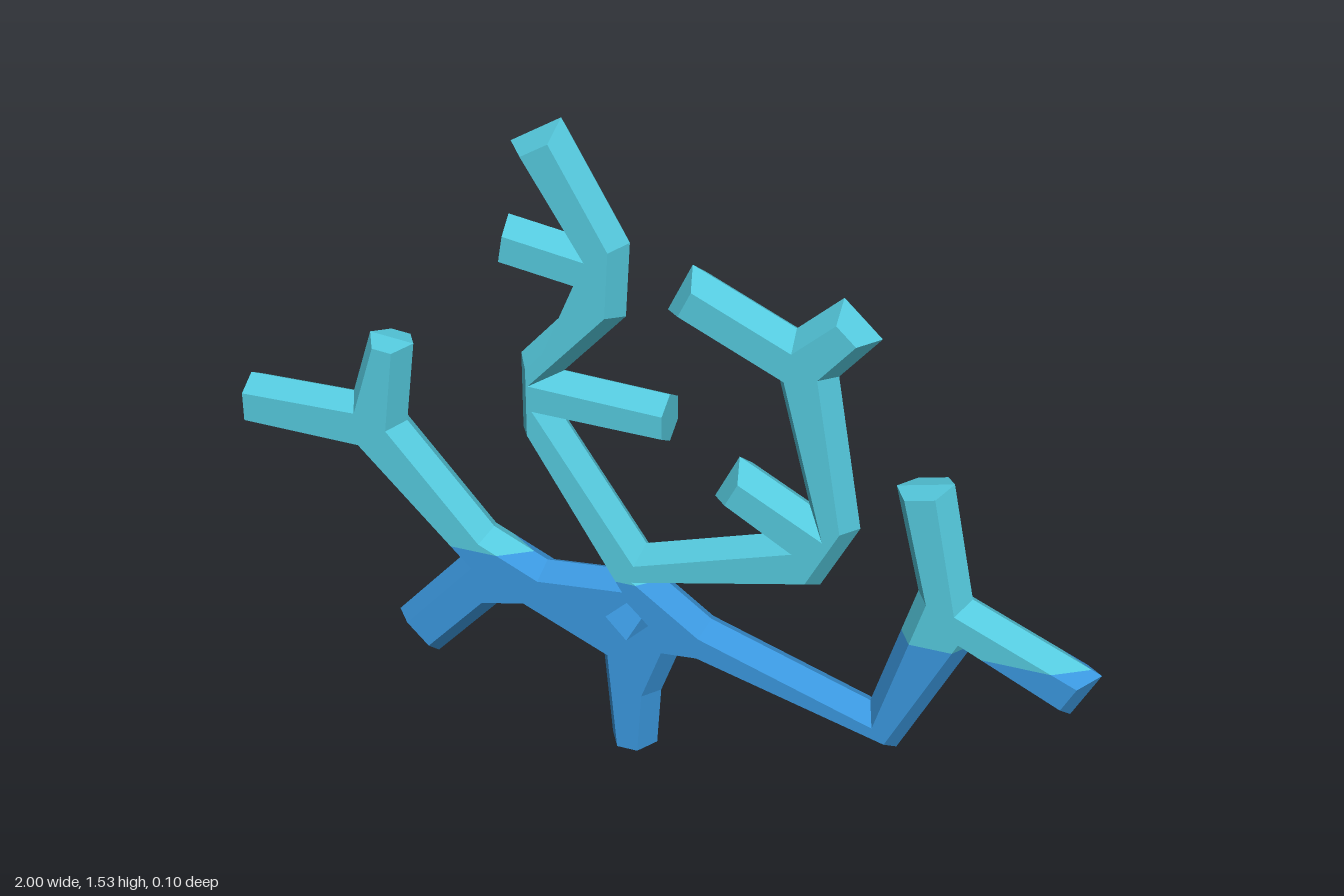
import * as THREE from 'three';

const HALF = 0.05;      // half thickness
const BEVEL = 0.03;     // how far the flat faces are set in from the rim
const SPLIT = 0.455;    // height where the base colour changes

// Rim of the coral, anticlockwise: [x, y, bevel of the edge that starts here]
const stemAndRightArm = [
  [-0.01, 0], [0, 0.15], [0.04, 0.26], [0.1, 0.265], [0.56, 0.14], [0.71, 0.44],
  [0.94, 0.33], [1, 0.445], [0.71, 0.57], [0.655, 0.845, 0.01], [0.53, 0.815],
  [0.59, 0.565], [0.495, 0.25], [0.12, 0.375], [0.02, 0.447],
];
const innerRightBranch = [
  [0.37, 0.527], [0.455, 0.69], [0.395, 1.05], [0.485, 1.155], [0.4, 1.235],
  [0.3, 1.145], [0.07, 1.25], [0.015, 1.135], [0.265, 1.02], [0.34, 0.725],
  [0.18, 0.81], [0.125, 0.7], [0.245, 0.63], [-0.035, 0.54],
];
const tallBranch = [
  [-0.225, 0.82], [0.02, 0.815, 0], [0.02, 0.93], [-0.225, 0.94], [-0.08, 1.1],
  [-0.07, 1.275], [-0.22, 1.535], [-0.335, 1.465], [-0.215, 1.275], [-0.345, 1.295, 0.01],
  [-0.365, 1.175], [-0.165, 1.145], [-0.325, 0.965], [-0.325, 0.78], [-0.125, 0.455],
];
const leftArm = [
  [-0.275, 0.44], [-0.405, 0.5], [-0.61, 0.735], [-0.585, 0.935, 0.01], [-0.69, 0.945],
  [-0.74, 0.785], [-1, 0.78, 0], [-1, 0.65], [-0.725, 0.645], [-0.485, 0.405],
  [-0.655, 0.215], [-0.56, 0.12], [-0.405, 0.29], [-0.32, 0.31], [-0.14, 0.23], [-0.12, 0, 0],
];
const holePoints = [[-0.115, 0.355], [-0.063, 0.405], [-0.012, 0.355], [-0.065, 0.302]];

// Move every edge inwards by its bevel and meet the neighbours in a mitre
function inset(points) {
  const n = points.length;
  const lines = points.map((p, i) => {
    const q = points[(i + 1) % n];
    const d = new THREE.Vector2(q[0] - p[0], q[1] - p[1]).normalize();
    const b = p[2] ?? BEVEL;
    return { x: p[0] - d.y * b, y: p[1] + d.x * b, d };
  });
  return lines.map((l, i) => {
    const k = lines[(i + n - 1) % n];
    const t = ((l.x - k.x) * l.d.y - (l.y - k.y) * l.d.x) / k.d.cross(l.d);
    return new THREE.Vector2(k.x + k.d.x * t, k.y + k.d.y * t);
  });
}

// Keep the part of a triangle above (sign 1) or below (sign -1) the split
function clip(tri, sign) {
  const out = [];
  tri.forEach((a, i) => {
    const b = tri[(i + 1) % 3];
    const da = sign * (a.y - SPLIT), db = sign * (b.y - SPLIT);
    if (da >= 0) out.push(a);
    if (da * db < 0) out.push(a.clone().lerp(b, da / (da - db)));
  });
  return out;
}

function buildMesh(tris, sign, material, name) {
  const pos = [];
  for (const tri of tris) {
    const poly = clip(tri, sign);
    for (let i = 1; i < poly.length - 1; i++) {
      for (const v of [poly[0], poly[i], poly[i + 1]]) pos.push(v.x, v.y, v.z);
    }
  }
  const geo = new THREE.BufferGeometry();
  geo.setAttribute('position', new THREE.Float32BufferAttribute(pos, 3));
  geo.computeVertexNormals();
  const mesh = new THREE.Mesh(geo, material);
  mesh.name = name;
  return mesh;
}

export function createModel() {
  const blue = new THREE.MeshStandardMaterial({ color: 0x3a96dc });
  blue.name = 'base blue';
  const teal = new THREE.MeshStandardMaterial({ color: 0x54c8dc });
  teal.name = 'branch teal';

  const rim = [...stemAndRightArm, ...innerRightBranch, ...tallBranch, ...leftArm];
  const face = inset(rim);
  const hole = holePoints.map(p => new THREE.Vector2(p[0], p[1]));
  const at = (p, z) => new THREE.Vector3(p.x, p.y, z);
  const tris = [];
  const quad = (a, b, c, d) => tris.push([a, b, c], [a, c, d]);

  // Flat front and back faces
  const all = [...face, ...hole];
  for (const [a, b, c] of THREE.ShapeUtils.triangulateShape(face.slice(), [hole.slice()])) {
    tris.push([at(all[a], HALF), at(all[b], HALF), at(all[c], HALF)]);
    tris.push([at(all[c], -HALF), at(all[b], -HALF), at(all[a], -HALF)]);
  }

  // Two sloping bands that meet at the rim
  rim.forEach((p, i) => {
    const j = (i + 1) % rim.length;
    const a = new THREE.Vector3(p[0], p[1], 0);
    const b = new THREE.Vector3(rim[j][0], rim[j][1], 0);
    quad(a, b, at(face[j], HALF), at(face[i], HALF));
    quad(at(face[i], -HALF), at(face[j], -HALF), b, a);
  });

  // Straight walls of the diamond hole
  hole.forEach((p, i) => {
    const q = hole[(i + 1) % hole.length];
    quad(at(p, -HALF), at(q, -HALF), at(q, HALF), at(p, HALF));
  });

  const group = new THREE.Group();
  group.name = 'coral';
  group.add(buildMesh(tris, -1, blue, 'coralBase'), buildMesh(tris, 1, teal, 'coralBranches'));
  return group;
}
